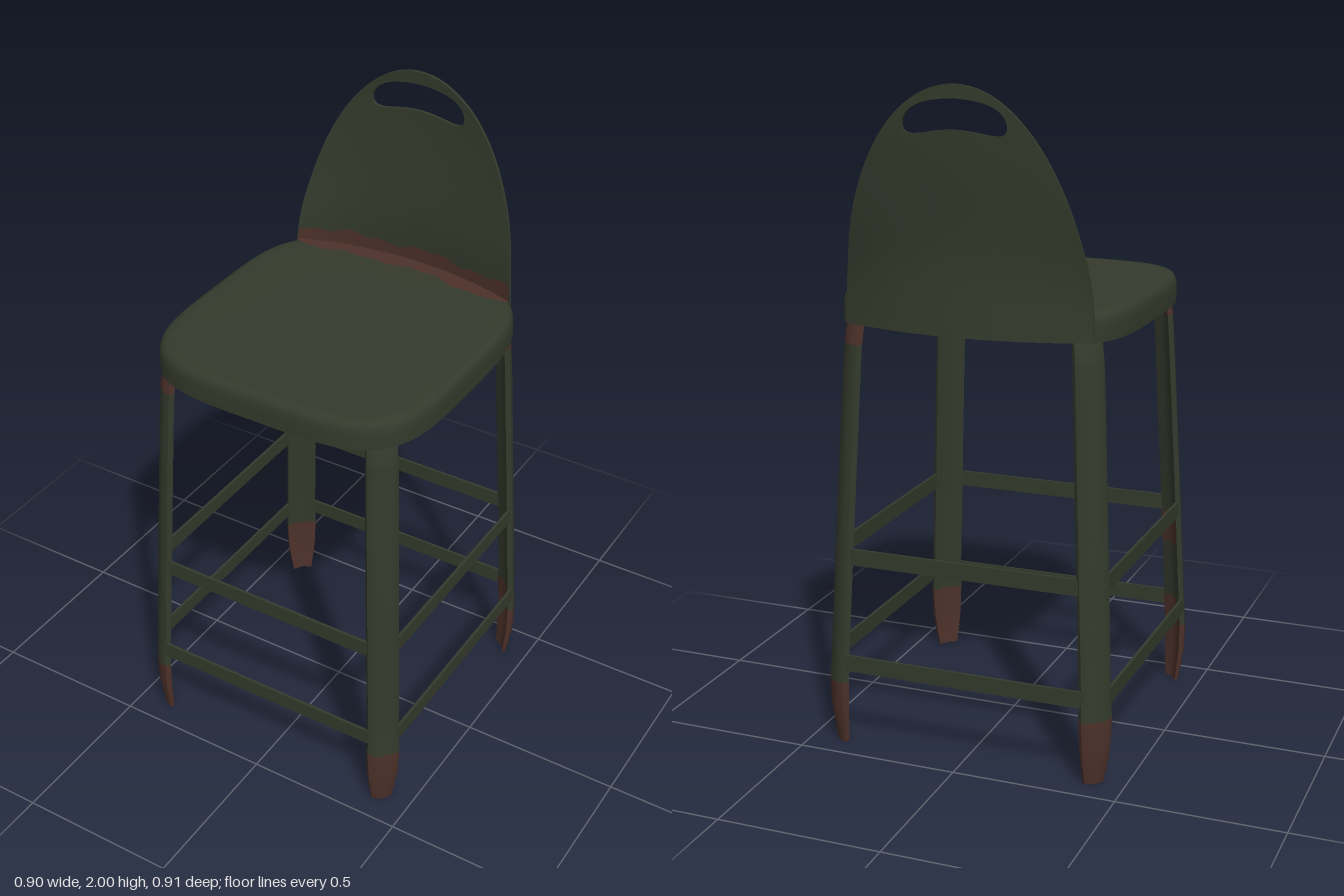
import * as THREE from 'three';
import { toCreasedNormals } from 'three/addons/utils/BufferGeometryUtils.js';

const paint = new THREE.MeshStandardMaterial({ color: 0x343a2c });
paint.name = 'dark green paint';
const rust = new THREE.MeshStandardMaterial({ color: 0x4d312a });
rust.name = 'rust red';

// Skin a list of equally long point rings
function loft(rings, closed = true, crease = 0.6) {
  const n = rings[0].length, index = [];
  for (let i = 0; i < rings.length - 1; i++) {
    for (let j = 0; j < (closed ? n : n - 1); j++) {
      const k = (j + 1) % n, a = i * n, b = a + n;
      index.push(a + j, b + j, a + k, b + j, b + k, a + k);
    }
  }
  const geo = new THREE.BufferGeometry();
  geo.setAttribute('position', new THREE.Float32BufferAttribute(rings.flat(2), 3));
  geo.setIndex(index);
  return toCreasedNormals(geo, crease);
}

function add(parent, name, geo, mat) {
  const mesh = new THREE.Mesh(geo, mat);
  mesh.name = name;
  parent.add(mesh);
  return mesh;
}

// Leaning rear surface of the backrest, bowed more at the bottom
const lean = new THREE.SplineCurve([
  [1.3, -0.445], [1.4, -0.438], [1.5, -0.433], [1.6, -0.438],
  [1.7, -0.447], [1.8, -0.455], [1.9, -0.459], [2.0, -0.457],
].map(([y, z]) => new THREE.Vector2(y, z)));
const backZ = (x, y) => {
  const bow = 0.5 - 0.23 * THREE.MathUtils.smoothstep(y, 1.36, 1.66);
  return lean.getPoint(THREE.MathUtils.clamp((y - 1.3) / 0.7, 0, 1)).y + bow * x * x;
};
const THICK = 0.01;

// Backrest outline and handle slot
const inPanel = (x, y) => y > 1.3 && y < 2 &&
  Math.abs(x) < 0.378 * Math.sqrt(1 - ((y - 1.3) / 0.7) ** 2);
const inSlot = (x, y) => Math.abs(x) < 0.155 &&
  Math.abs(y - 1.919 + 1.3 * x * x) < 0.042 * Math.sqrt(1 - (x / 0.155) ** 6);

// Distance from the slot centre to the edge of a region
function reach(inside, a) {
  let lo = 0, hi = 1;
  for (let i = 0; i < 30; i++) {
    const m = (lo + hi) / 2;
    if (inside(m * Math.cos(a), 1.92 + m * Math.sin(a))) lo = m; else hi = m;
  }
  return lo;
}

function backrestGeometry() {
  const corner = Math.atan2(-0.62, 0.378);
  const angles = [corner, -Math.PI - corner];
  for (let i = 0; i < 128; i++) angles.push(-Math.PI + (i / 128) * 2 * Math.PI);
  angles.sort((a, b) => a - b);
  const edges = angles.map(a => [a, reach(inSlot, a), reach(inPanel, a)]);
  const ring = (t, dz) => edges.map(([a, r0, r1]) => {
    const r = r0 + (r1 - r0) * t, x = r * Math.cos(a), y = 1.92 + r * Math.sin(a);
    return [x, y, backZ(x, y) + dz];
  });
  const steps = Array.from({ length: 13 }, (_, i) => i / 12);
  return loft([
    ...steps.map(t => ring(t, THICK)),
    ...steps.map(t => ring(1 - t, 0)),
    ring(0, THICK),
  ]);
}

// Rounded-square seat ring, trimmed to the curve of the backrest
function seatRing(s, y) {
  const pts = [];
  for (let i = 0; i < 96; i++) {
    const a = (i / 96) * Math.PI * 2, c = Math.cos(a), d = Math.sin(a);
    const k = s / Math.pow(c ** 4 + d ** 4, 0.25);
    const x = 0.442 * k * c;
    pts.push([x, y, Math.max(0.45 * k * d, backZ(x, 1.34) + 0.006)]);
  }
  return pts;
}

// Jagged worn strip where seat and backrest meet, tapering at both ends
function wornStrip() {
  const rows = [[], [], []];
  for (let i = 0; i <= 60; i++) {
    const x = 0.37 - (i / 60) * 0.74;
    const taper = 1 - (x / 0.375) ** 6;
    const jag = 0.007 * Math.sin(x * 23) + 0.005 * Math.sin(x * 57 + 1);
    const y = 1.431 + jag;
    rows[0].push([x, 1.3865, backZ(x, 1.38) + THICK + 0.004 + (0.048 - jag) * taper]);
    rows[1].push([x, 1.389, backZ(x, 1.39) + THICK + 0.003]);
    rows[2].push([x, y, backZ(x, y) + THICK + 0.002]);
  }
  return loft(rows, false);
}

// Channel-shaped leg section, lofted along [height, distance from axis, scale]
const section = [
  [0.048, -0.014], [0.048, 0.003], [0.034, 0.014], [0.014, 0.019], [-0.014, 0.019],
  [-0.034, 0.014], [-0.048, 0.003], [-0.048, -0.014], [-0.036, -0.012], [-0.016, -0.004],
  [0.016, -0.004], [0.036, -0.012],
];
const legRing = ([y, r, s]) => section.map(([t, d]) => [t * s, y, r + d * s]);
function legGeometry(path) {
  const first = path[0], last = path[path.length - 1];
  return loft([
    legRing([first[0], first[1], 0]), ...path.map(legRing), legRing([last[0], last[1], 0]),
  ], true, 0.8);
}

// Worn patch lying on the inner face of a leg
const innerPatch = path => loft(path.map(
  ([y, r]) => legRing([y, r - 0.002, 1]).slice(7).concat([[0.048, y, r - 0.016]])), false);

export function createModel() {
  const model = new THREE.Group();
  model.name = 'barStool';

  // Seat shell, hollow underneath with a worn lower lip
  const seat = new THREE.Group();
  seat.name = 'seat';
  model.add(seat);
  const rings = list => loft(list.map(([s, y]) => seatRing(s, y)), true, 0.9);
  add(seat, 'seatTop', rings([
    [1, 1.3], [1, 1.345], [0.995, 1.364], [0.983, 1.377], [0.965, 1.383], [0.93, 1.386],
    [0.85, 1.385], [0.5, 1.383], [0, 1.382],
  ]), paint);
  add(seat, 'seatUnderside', rings([[0, 1.322], [0.915, 1.322]]), paint);
  add(seat, 'seatLip', rings([[0.915, 1.322], [0.95, 1.3], [1, 1.3]]), rust);

  // Backrest with handle slot
  add(model, 'backrest', backrestGeometry(), paint);
  add(model, 'backrestWear', wornStrip(), rust);

  // Splayed legs with worn feet
  const foot = legGeometry([
    [0, 0.574, 0.66], [0.05, 0.578, 0.82], [0.11, 0.583, 0.97], [0.2, 0.583, 1.04],
  ]);
  const shaft = legGeometry([
    [0.2, 0.583, 1.04], [0.28, 0.578, 1], [0.6, 0.558, 1], [1.15, 0.521, 0.97],
    [1.24, 0.514, 0.95],
  ]);
  const top = legGeometry([[1.24, 0.514, 0.95], [1.29, 0.506, 0.92], [1.33, 0.49, 0.88]]);
  const lowPatch = innerPatch([[0.2, 0.583], [0.28, 0.578]]);
  const highPatch = innerPatch([[0.47, 0.5661], [0.57, 0.5599]]);
  for (let i = 0; i < 4; i++) {
    const leg = new THREE.Group();
    leg.name = ['frontLeftLeg', 'backLeftLeg', 'backRightLeg', 'frontRightLeg'][i];
    leg.rotation.y = Math.PI / 4 + i * Math.PI / 2;
    add(leg, 'legShaft', shaft, paint);
    add(leg, 'foot', foot, rust);
    add(leg, 'legTop', top, i % 2 ? rust : paint);
    if (i % 2) add(leg, 'lowerWear', lowPatch, rust);
    if (i === 3) add(leg, 'upperWear', highPatch, rust);
    model.add(leg);
  }

  // Two levels of flat rails, ending inside the legs
  for (const [name, y, d, w] of [
    ['lowerRail', 0.267, 0.441, 0.765], ['upperRail', 0.6, 0.421, 0.735],
  ]) {
    for (let i = 0; i < 4; i++) {
      const side = new THREE.Group();
      side.name = name;
      side.rotation.y = i * Math.PI / 2;
      add(side, 'railBar', new THREE.BoxGeometry(w, 0.05, 0.009), paint)
        .position.set(0, y, d);
      model.add(side);
    }
  }
  return model;
}
